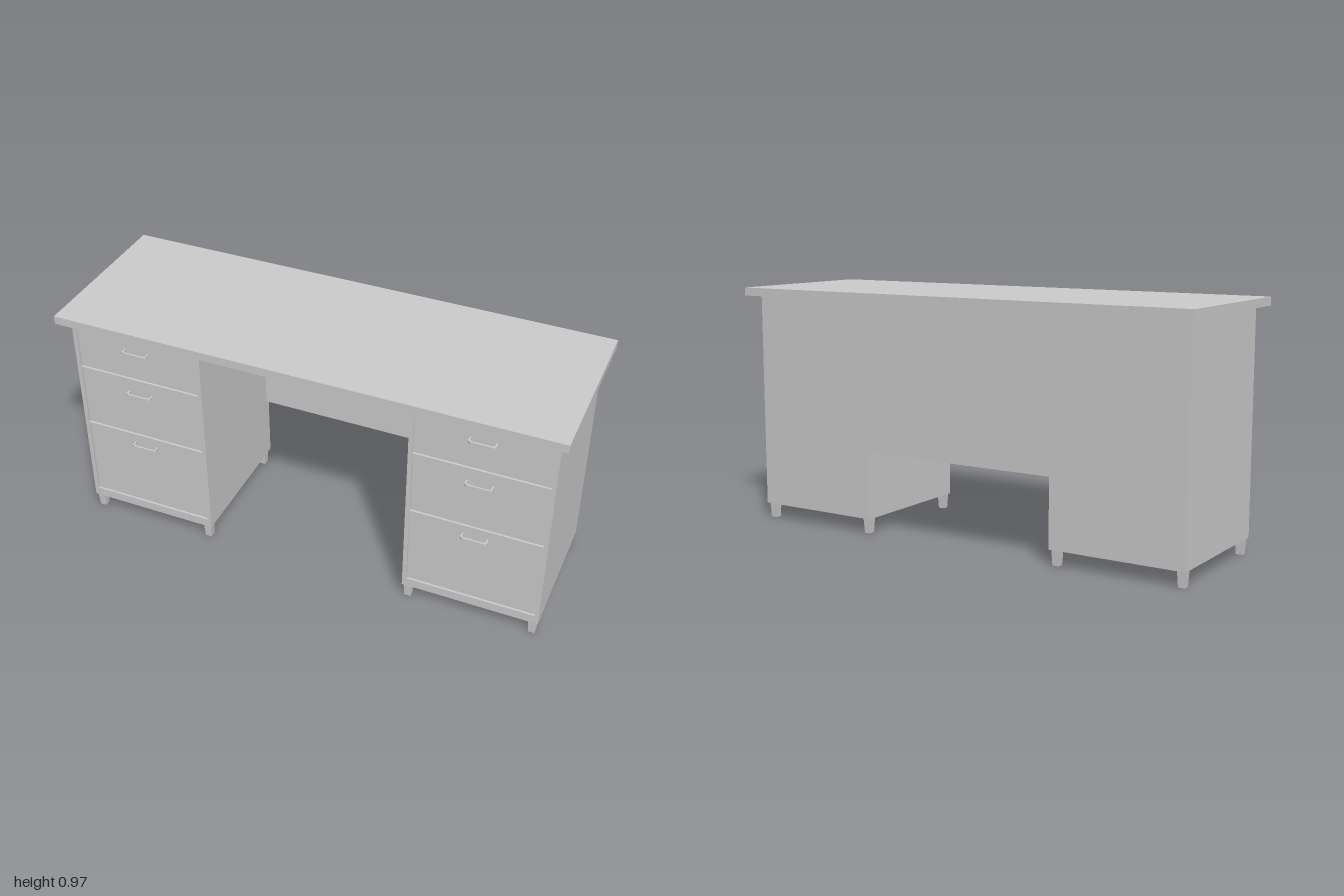
import * as THREE from 'three';

const material = new THREE.MeshStandardMaterial({ color: 0xcccccc, flatShading: true });

function add(parent, name, geometry, x = 0, y = 0, z = 0) {
  const mesh = new THREE.Mesh(geometry, material);
  mesh.name = name;
  mesh.position.set(x, y, z);
  parent.add(mesh);
  return mesh;
}

// Box given by its lower and upper limits on each axis
function addBox(parent, name, [x0, x1], [y0, y1], [z0, z1]) {
  return add(parent, name, new THREE.BoxGeometry(x1 - x0, y1 - y0, z1 - z0),
    (x0 + x1) / 2, (y0 + y1) / 2, (z0 + z1) / 2);
}

function rectangle(Type, x0, x1, y0, y1) {
  return new Type([[x0, y0], [x1, y0], [x1, y1], [x0, y1]].map(p => new THREE.Vector2(...p)));
}

const BOTTOM = 0.062, TOP = 0.94, BACK = -0.28, FRONT = 0.285, RECESS = 0.01;
const HALF = 0.274;            // half width of a pedestal
const DRAWERS = [              // bottom, top, handle height
  [0.099, 0.438, 0.40],
  [0.449, 0.714, 0.655],
  [0.722, 0.909, 0.85],
];

// Bent pull: a bar with two angled ends reaching back to the drawer
function handleGeometry() {
  const depth = 0.03, t = 0.007;
  const shape = new THREE.Shape([
    [-0.052, 0], [-0.052, -depth + 0.008], [-0.044, -depth], [0.044, -depth],
    [0.052, -depth + 0.008], [0.052, 0], [0.052 - t, 0], [0.052 - t, -depth + 0.011],
    [0.041, -depth + t], [-0.041, -depth + t], [-0.052 + t, -depth + 0.011], [-0.052 + t, 0],
  ].map(p => new THREE.Vector2(...p)));
  return new THREE.ExtrudeGeometry(shape, { depth: 0.009, bevelEnabled: false })
    .translate(0, 0, -0.0045).rotateX(-Math.PI / 2);
}

// Square foot narrowing towards the floor
function legGeometry() {
  const r = Math.SQRT1_2;
  return new THREE.CylinderGeometry(0.033 * r, 0.026 * r, BOTTOM, 4).rotateY(Math.PI / 4);
}

function createPedestal() {
  const pedestal = new THREE.Group();
  const panelZ = FRONT - RECESS;
  addBox(pedestal, 'cabinet', [-HALF, HALF], [BOTTOM, TOP], [BACK, panelZ]);

  // Face frame with one opening for each recessed drawer
  const frame = rectangle(THREE.Shape, -HALF, HALF, BOTTOM, TOP);
  for (const [y0, y1] of DRAWERS) {
    frame.holes.push(rectangle(THREE.Path, -0.257, 0.257, y0, y1));
  }
  add(pedestal, 'drawerFrame',
    new THREE.ExtrudeGeometry(frame, { depth: RECESS, bevelEnabled: false }), 0, 0, panelZ);

  // Drawer fronts and pulls
  for (const [y0, y1, handleY] of DRAWERS) {
    addBox(pedestal, 'drawerFront', [-0.257, 0.257], [y0, y1], [panelZ - 0.01, panelZ + 0.001]);
    add(pedestal, 'drawerHandle', handleGeometry(), 0, handleY, panelZ);
  }

  // Feet
  for (const x of [-0.252, 0.252]) {
    for (const z of [-0.253, 0.262]) add(pedestal, 'leg', legGeometry(), x, BOTTOM / 2, z);
  }
  return pedestal;
}

export function createModel() {
  const desk = new THREE.Group();
  desk.name = 'desk';

  addBox(desk, 'desktop', [-1, 1], [TOP, 0.973], [-0.34, 0.34]);

  for (const side of [-1, 1]) {
    const pedestal = createPedestal();
    pedestal.name = side > 0 ? 'leftPedestal' : 'rightPedestal';
    pedestal.position.x = side * 0.691;
    desk.add(pedestal);
  }

  // Panel closing the back of the knee space
  addBox(desk, 'modestyPanel', [-0.417, 0.417], [0.335, TOP], [BACK, BACK + 0.02]);
  return desk;
}
